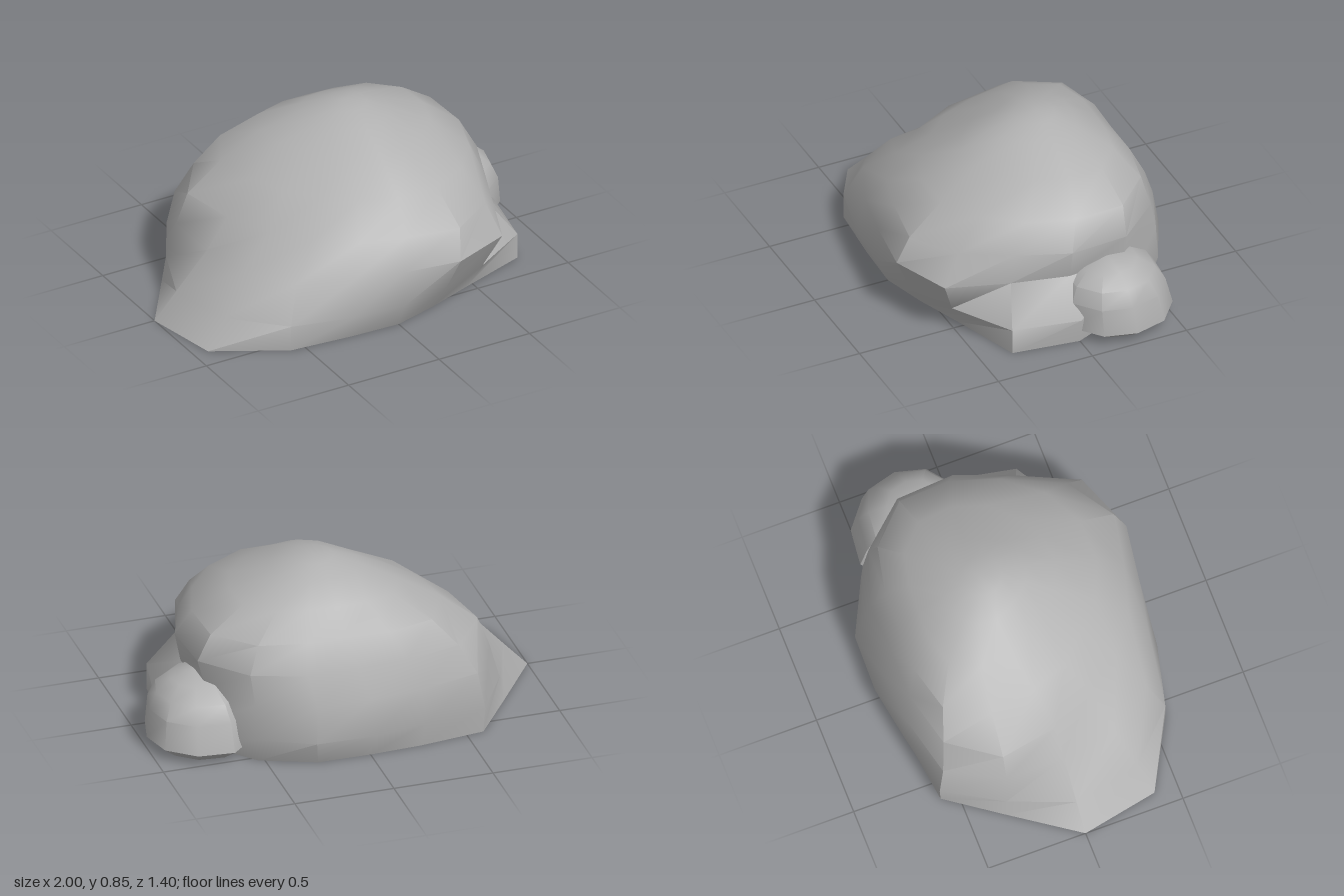
import * as THREE from 'three';
import { toCreasedNormals } from 'three/addons/utils/BufferGeometryUtils.js';

// Closed stone from stacked rings { y, x, z, r: [radii from +x towards +z] } and a top point
function stoneGeometry(rings, top) {
  const n = rings[0].r.length;
  const points = [];
  const index = [];
  for (const { y, x, z, r } of rings) {
    r.forEach((radius, j) => {
      const a = (j / n) * Math.PI * 2;
      points.push(x + radius * Math.cos(a), y, z + radius * Math.sin(a));
    });
  }
  const topId = rings.length * n;
  const baseId = topId + 1;
  points.push(...top, rings[0].x, rings[0].y, rings[0].z);
  for (let j = 0; j < n; j++) {
    const k = (j + 1) % n;
    for (let i = 0; i < rings.length - 1; i++) {
      const a = i * n + j, b = i * n + k, c = a + n, d = b + n;
      index.push(a, c, b, b, c, d);
    }
    const last = (rings.length - 1) * n;
    index.push(last + j, topId, last + k, baseId, j, k);
  }
  const geometry = new THREE.BufferGeometry();
  geometry.setAttribute('position', new THREE.Float32BufferAttribute(points, 3));
  geometry.setIndex(index);
  return toCreasedNormals(geometry, 0.68);
}

export function createModel() {
  const group = new THREE.Group();
  const stone = new THREE.MeshStandardMaterial({ color: 0xb0b0b0 });
  stone.name = 'grey stone';

  const add = (name, geometry) => {
    const mesh = new THREE.Mesh(geometry, stone);
    mesh.name = name;
    group.add(mesh);
  };

  // Large boulder: undercut at the front left, low sloping toe on the right
  add('boulder', stoneGeometry([
    { y: 0, x: 0, z: 0, r: [0.86, 0.88, 0.65, 0.59, 0.61, 0.65, 0.81, 1.0, 1.0, 0.84, 0.83, 0.68, 0.64, 0.69, 0.75, 0.79] },
    { y: 0.13, x: 0, z: 0, r: [0.88, 0.88, 0.73, 0.67, 0.67, 0.70, 0.81, 0.88, 0.88, 0.82, 0.84, 0.71, 0.70, 0.75, 0.79, 0.80] },
    { y: 0.31, x: 0, z: 0, r: [0.75, 0.74, 0.83, 0.76, 0.66, 0.66, 0.71, 0.72, 0.71, 0.77, 0.80, 0.69, 0.66, 0.72, 0.78, 0.78] },
    { y: 0.46, x: 0.05, z: 0, r: [0.73, 0.68, 0.70, 0.70, 0.60, 0.58, 0.57, 0.58, 0.65, 0.76, 0.75, 0.65, 0.60, 0.66, 0.73, 0.77] },
    { y: 0.6, x: 0.08, z: -0.05, r: [0.63, 0.60, 0.58, 0.56, 0.52, 0.48, 0.45, 0.48, 0.51, 0.60, 0.62, 0.54, 0.49, 0.53, 0.62, 0.67] },
    { y: 0.72, x: 0.1, z: -0.1, r: [0.44, 0.42, 0.39, 0.38, 0.37, 0.33, 0.30, 0.32, 0.36, 0.40, 0.42, 0.37, 0.34, 0.36, 0.42, 0.46] },
    { y: 0.8, x: 0.11, z: -0.11, r: [0.22, 0.22, 0.22, 0.23, 0.23, 0.21, 0.19, 0.19, 0.21, 0.22, 0.22, 0.21, 0.20, 0.20, 0.22, 0.23] },
    { y: 0.84, x: 0.12, z: -0.11, r: Array(16).fill(0.1) },
  ], [0.12, 0.85, -0.12]));

  // Small stone leaning on the side: one outline, scaled at each height
  const outline = [0.26, 0.27, 0.28, 0.29, 0.28, 0.28, 0.28, 0.30, 0.28, 0.27];
  const levels = [[0, 0.7], [0.06, 1], [0.2, 0.93], [0.28, 0.78], [0.34, 0.5]];
  add('sideStone', stoneGeometry(
    levels.map(([y, s]) => ({ y, x: 0.74, z: -0.25 + y * 0.12, r: outline.map((r) => r * s) })),
    [0.74, 0.37, -0.2],
  ));

  return group;
}
